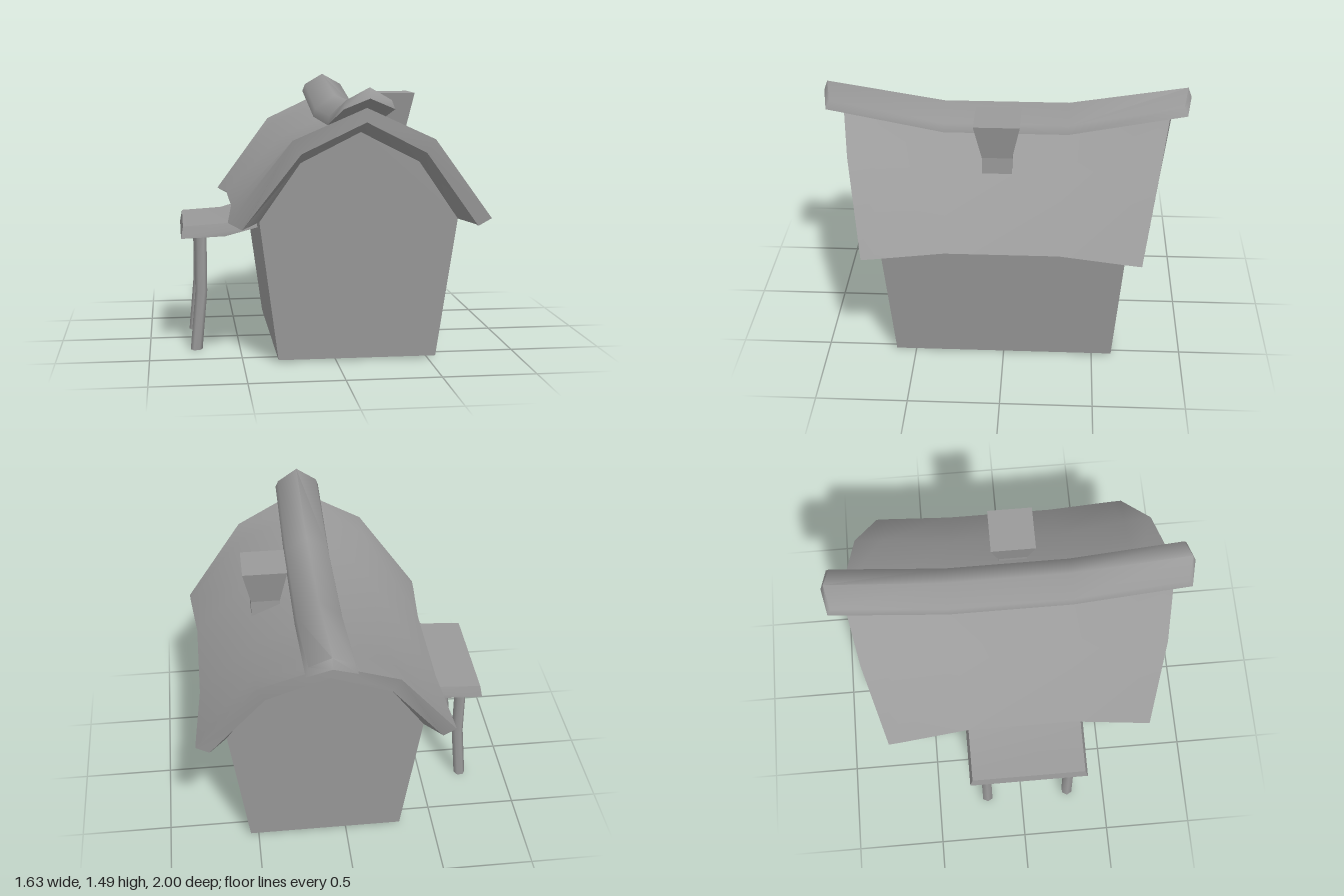
import * as THREE from 'three';
import { toCreasedNormals } from 'three/addons/utils/BufferGeometryUtils.js';

const HOUSE_X = 0.117; // the hut stands off-centre to make room for the porch

// Skin closed rings of [x, y, z] (counterclockwise from the front), ordered back to front.
function loft(rings, crease) {
  const n = rings[0].length;
  const index = [];
  for (let r = 0; r < rings.length - 1; r++) {
    for (let i = 0; i < n; i++) {
      const j = (i + 1) % n;
      const a = r * n + i, b = r * n + j, c = b + n, d = a + n;
      index.push(a, b, d, b, c, d);
    }
  }
  const outline = rings[0].map(([x, y]) => new THREE.Vector2(x, y));
  const last = (rings.length - 1) * n;
  for (const [a, b, c] of THREE.ShapeUtils.triangulateShape(outline, [])) {
    index.push(c, b, a, last + a, last + b, last + c);
  }
  const geometry = new THREE.BufferGeometry();
  geometry.setAttribute('position', new THREE.Float32BufferAttribute(rings.flat(2), 3));
  geometry.setIndex(index);
  return toCreasedNormals(geometry, crease);
}

// Mirror a half profile (right edge up to the apex) into a full arch.
const arch = (half) => [
  ...half,
  ...half.slice(0, -1).reverse().map(([x, y, z]) => [-x, y, z]),
];

// Closed arch-shaped slab section from outer and inner half profiles.
const slab = (outer, inner) => [...arch(outer), ...arch(inner).reverse()];
const flipZ = (ring) => ring.map(([x, y, z]) => [x, y, -z]);

// Loft sections listed from the middle outwards, mirrored front to back.
const saddle = (sections, crease) =>
  loft([...sections.map(flipZ).reverse(), ...sections], crease);

export function createModel() {
  const group = new THREE.Group();
  const material = new THREE.MeshStandardMaterial({ color: 0x9a9a9a });
  const add = (name, geometry, x = 0, y = 0, z = 0) => {
    const mesh = new THREE.Mesh(geometry, material);
    mesh.name = name;
    mesh.position.set(x, y, z);
    group.add(mesh);
  };

  // Walls, flaring upwards to the gable
  const gable = [[0.53, 0.77, 0.662], [0.315, 1.08, 0.683], [0, 1.24, 0.695]];
  const wall = [[-0.428, 0.01, 0.61], ...arch([[0.428, 0.01, 0.61], ...gable]).slice(0, -1)];
  add('walls', saddle([wall], 0.3), HOUSE_X);

  // Roof with raised, splayed ends; its underside slopes in to the top of the walls
  const roofMid = slab(
    [[0.66, 0.81, 0.3], [0.35, 1.12, 0.31], [0, 1.275, 0.34]],
    [[0.59, 0.77, 0.3], ...gable.map(([x, y]) => [x, y, 0.3])]
  );
  const roofAtGable = slab(
    [[0.692, 0.785, 0.662], [0.365, 1.186, 0.683], [0, 1.342, 0.695]],
    [[0.62, 0.745, 0.662], ...gable]
  );
  const roofEnd = slab(
    [[0.697, 0.78, 0.735], [0.37, 1.21, 0.83], [0, 1.378, 0.9]],
    [[0.625, 0.74, 0.735], [0.62, 0.747, 0.736], [0.325, 1.14, 0.83], [0, 1.305, 0.9]]
  );
  add('roof', saddle([roofMid, roofAtGable, roofEnd], 0.7), HOUSE_X);

  // Ridge cap following the sag of the roof
  const capMid = slab(
    [[0.12, 1.3, 0.34], [0, 1.38, 0.34]],
    [[0.13, 1.25, 0.34], [0, 1.3, 0.34]]
  );
  const capEnd = slab(
    [[0.115, 1.42, 0.955], [0, 1.485, 0.98]],
    [[0.13, 1.375, 0.975], [0, 1.43, 1.0]]
  );
  add('ridgeCap', saddle([capMid, capEnd], 1.25), HOUSE_X);

  // Square chimney with a flared top
  const chimneyProfile = [[0, 1.0], [0.08, 1.0], [0.08, 1.215], [0.122, 1.415], [0, 1.415]]
    .map(([half, y]) => new THREE.Vector2(half * Math.SQRT2, y));
  const chimney = new THREE.LatheGeometry(chimneyProfile, 4).rotateY(Math.PI / 4);
  add('chimney', toCreasedNormals(chimney, 0.15), 0.384, 0, 0.037);

  // Porch canopy sloping out from the wall, slightly wider underneath
  const canopy = (zTop, zBottom) => [
    [-0.82, 0.64, zBottom], [-0.58, 0.65, zBottom], [-0.33, 0.715, zBottom],
    [-0.33, 0.793, zTop], [-0.58, 0.72, zTop], [-0.808, 0.706, zTop],
  ];
  add('porchCanopy', loft([canopy(-0.285, -0.3), canopy(0.352, 0.368)], 0.6));

  // Porch posts, bent outwards below the middle
  for (const z of [0.28, -0.207]) {
    const post = new THREE.CylinderGeometry(0.033, 0.033, 0.66, 6, 2).rotateY(Math.PI / 6);
    const p = post.attributes.position;
    for (let i = 0; i < p.count; i++) {
      if (p.getY(i) < -0.1) p.setX(i, p.getX(i) - 0.03);
    }
    add('porchPost', toCreasedNormals(post, 1.1), -0.712, 0.33, z);
  }

  return group;
}
